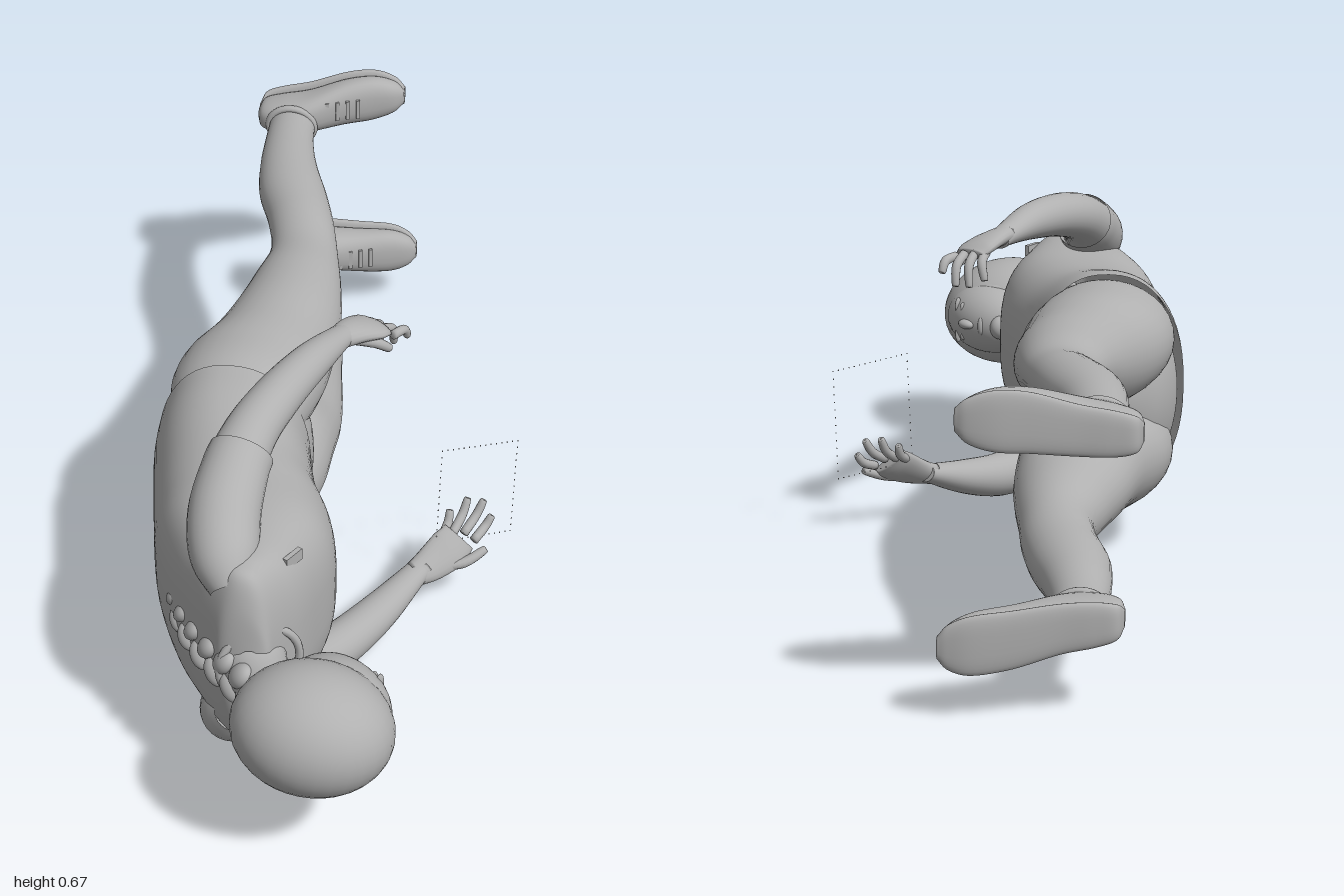
import * as THREE from 'three';

const MID = 0.3125; // body's plane of symmetry (y); head points to +z, chest to +x
const V = (x, y, z) => new THREE.Vector3(x, y, z);

export function createModel() {
  const model = new THREE.Group();
  model.name = 'recliningWoman';
  const grey = new THREE.MeshStandardMaterial({ color: 0xb0b0b0, side: THREE.DoubleSide });
  grey.name = 'plain grey';

  const add = (geo, name, parent = model) => {
    const m = new THREE.Mesh(geo, grey);
    m.name = name;
    parent.add(m);
    return m;
  };
  const group = (name) => {
    const g = new THREE.Group();
    g.name = name;
    model.add(g);
    return g;
  };

  // Smooth sweep through rows [x, y, z, ra, rb, squareness]; rb lies along ref, ra across it.
  function sweep(rows, { ref = V(0, 1, 0), axis = null, n = 28, steps = 6, pow = 1, open = false } = {}) {
    const path = new THREE.CatmullRomCurve3(rows.map(r => V(r[0], r[1], r[2])), false, 'catmullrom');
    const size = new THREE.CatmullRomCurve3(rows.map(r => V(r[3], r[4], r[5] ?? pow)), false, 'catmullrom');
    const count = (rows.length - 1) * steps, pos = [], idx = [];
    for (let i = 0; i <= count; i++) {
      const t = i / count, p = path.getPoint(t), s = size.getPoint(t);
      const T = axis ? axis.clone() : path.getTangent(t);
      const B = ref.clone().addScaledVector(T, -ref.dot(T)).normalize();
      const A = B.clone().cross(T);
      for (let j = 0; j < n; j++) {
        const a = j / n * Math.PI * 2, c = Math.cos(a), d = Math.sin(a);
        const q = p.clone()
          .addScaledVector(A, s.x * Math.sign(c) * Math.abs(c) ** s.z)
          .addScaledVector(B, s.y * Math.sign(d) * Math.abs(d) ** s.z);
        pos.push(q.x, q.y, q.z);
      }
    }
    for (let i = 0; i < count; i++) for (let j = 0; j < n; j++) {
      const k = (j + 1) % n, a = i * n + j, b = i * n + k;
      idx.push(a, b, a + n, b, b + n, a + n);
    }
    if (!open) {
      const first = path.getPoint(0), last = path.getPoint(1), c = pos.length / 3;
      pos.push(first.x, first.y, first.z, last.x, last.y, last.z);
      for (let j = 0; j < n; j++) {
        const k = (j + 1) % n;
        idx.push(c, k, j, c + 1, count * n + j, count * n + k);
      }
    }
    const geo = new THREE.BufferGeometry();
    geo.setAttribute('position', new THREE.Float32BufferAttribute(pos, 3));
    geo.setIndex(idx);
    geo.computeVertexNormals();
    return geo;
  }
  const ball = (name, parent, p, r) => {
    const m = add(new THREE.SphereGeometry(1, 32, 22), name, parent);
    m.position.set(...p);
    m.scale.set(...r);
    return m;
  };

  // Shirt: rows z, centre x, half depth, half width, squareness; open at the hem
  const body = (rows, opts) => sweep(rows.map(([z, x, rx, ry, k]) => [x, MID, z, rx, ry, k]),
    { axis: V(0, 0, 1), n: 56, ...opts });
  add(body([
    [0.13, -0.2, 0.155, 0.23, 0.88], [0.2, -0.19, 0.16, 0.224, 0.88], [0.3, -0.165, 0.165, 0.205, 0.85],
    [0.4, -0.133, 0.176, 0.2, 0.78], [0.5, -0.112, 0.172, 0.204, 0.7], [0.6, -0.098, 0.14, 0.206, 0.7],
    [0.66, -0.085, 0.11, 0.206, 0.72], [0.7, -0.08, 0.085, 0.204, 0.78], [0.735, -0.072, 0.06, 0.19, 0.9],
    [0.755, -0.066, 0.048, 0.13, 1], [0.765, -0.055, 0.03, 0.05, 1],
  ], { open: true }), 'shirt');

  // Hips
  add(body([[-0.045, -0.19, 0.015, 0.02], [-0.025, -0.19, 0.075, 0.08], [0.01, -0.19, 0.122, 0.16],
    [0.07, -0.195, 0.145, 0.216], [0.12, -0.195, 0.146, 0.22], [0.2, -0.19, 0.13, 0.2]]), 'hips');

  // Collar and chest tabs
  const collar = add(new THREE.TorusGeometry(0.078, 0.008, 10, 40), 'collar');
  collar.position.set(-0.045, MID - 0.005, 0.728);
  collar.rotation.y = 0.5;
  for (const s of [-1, 1]) {
    const tab = add(new THREE.BoxGeometry(0.01, 0.024, 0.045), 'chestTab');
    tab.position.set(0.003, MID + s * 0.172 - 0.003, 0.635);
    tab.rotation.y = -0.5;
  }

  // Legs and shoes; the lower-side leg stands straighter and a little forward
  function makeLeg(name, s, rows, shoe) {
    const leg = group(name);
    add(sweep([[0.2, -0.185, 0.1, 0.11, 0.08], ...rows].map(([z, x, rx, d, ry]) => [x, MID + s * d, z, rx, ry]),
      { axis: V(0, 0, -1), n: 32 }), 'leg', leg);
    add(sweep(shoe.map(([x, z, h, w, d]) => [x, MID + s * d, z, h, w]), { axis: V(1, 0, 0), pow: 0.8 }), 'shoe', leg);
    add(sweep(shoe.map(([x, z, h, w, d]) => [x, MID + s * d, Math.max(z - h + 0.004, -0.988), 0.011, w + 0.004]),
      { axis: V(1, 0, 0), pow: 0.7 }), 'sole', leg);
    const [, ax, , ad] = rows[rows.length - 1];
    const cuff = add(new THREE.TorusGeometry(0.05, 0.009, 10, 32), 'shoeCollar', leg);
    cuff.position.set(ax, MID + s * ad, -0.864);
    cuff.scale.y = 0.85;
    for (let i = 0; i < 4; i++) {
      const [x, z, h, , d] = shoe[4], k = i - 1.5;
      const lace = add(new THREE.BoxGeometry(0.008, 0.045, 0.006), 'lace', leg);
      lace.position.set(x + k * 0.022, MID + s * d, z + h - k * 0.008);
      lace.rotation.y = 0.35;
    }
  }
  // leg rows: z, x, half depth, offset from middle, half width; shoe rows: x, z, half height, half width, offset
  const thigh = [[0.1, -0.195, 0.138, 0.115, 0.112], [0, -0.185, 0.147, 0.115, 0.115], [-0.1, -0.163, 0.128, 0.113, 0.112]];
  makeLeg('upperSideLeg', 1, [...thigh,
    [-0.2, -0.148, 0.112, 0.125, 0.098], [-0.3, -0.143, 0.092, 0.143, 0.075], [-0.4, -0.145, 0.072, 0.155, 0.056],
    [-0.5, -0.168, 0.071, 0.167, 0.058], [-0.6, -0.202, 0.074, 0.175, 0.058], [-0.7, -0.228, 0.063, 0.185, 0.05],
    [-0.8, -0.243, 0.053, 0.192, 0.041], [-0.9, -0.25, 0.05, 0.193, 0.038]],
  [[-0.33, -0.91, 0.015, 0.012, 0.195], [-0.318, -0.908, 0.04, 0.028, 0.197], [-0.28, -0.905, 0.052, 0.037, 0.2],
    [-0.22, -0.91, 0.055, 0.042, 0.207], [-0.14, -0.938, 0.042, 0.05, 0.222], [-0.08, -0.957, 0.034, 0.05, 0.226],
    [-0.035, -0.969, 0.025, 0.036, 0.226], [-0.012, -0.975, 0.01, 0.016, 0.226]]);
  makeLeg('lowerSideLeg', -1, [...thigh,
    [-0.2, -0.148, 0.112, 0.13, 0.092], [-0.3, -0.14, 0.092, 0.138, 0.08], [-0.4, -0.138, 0.073, 0.144, 0.068],
    [-0.5, -0.154, 0.074, 0.151, 0.064], [-0.6, -0.18, 0.076, 0.157, 0.064], [-0.7, -0.2, 0.064, 0.157, 0.055],
    [-0.8, -0.213, 0.052, 0.157, 0.043], [-0.9, -0.22, 0.05, 0.155, 0.037]],
  [[-0.3, -0.91, 0.015, 0.012, 0.14], [-0.288, -0.908, 0.04, 0.028, 0.14], [-0.25, -0.905, 0.052, 0.037, 0.143],
    [-0.19, -0.91, 0.055, 0.042, 0.15], [-0.11, -0.938, 0.042, 0.049, 0.167], [-0.04, -0.96, 0.032, 0.05, 0.176],
    [0.0, -0.972, 0.023, 0.037, 0.18], [0.02, -0.978, 0.01, 0.016, 0.182]]);

  // Arms, each with a short sleeve and a hand
  function arm(name, rows, sleeveRows, palm, knuckles, tips, bend, thumb) {
    const g = group(name);
    add(sweep(rows, { ref: V(1, 0, 0.3).normalize() }), 'arm', g);
    add(sweep(sleeveRows, { ref: V(1, 0, 0.3).normalize(), open: true }), 'sleeve', g);
    const spread = V(...knuckles[3]).sub(V(...knuckles[0])).normalize();
    add(sweep(palm, { ref: spread, n: 18 }), 'palm', g);
    const digit = (a, b, c, r) => add(sweep(
      [[...a, r, r], [...b, r, r], [...c, r * 0.8, r * 0.8],
        [...c.map((v, i) => v + (c[i] - b[i]) * 0.12), r * 0.3, r * 0.3]], { ref: spread, n: 12, steps: 5 }), 'finger', g);
    knuckles.forEach((k, i) => digit(k, k.map((v, j) => (v + tips[i][j]) / 2 + bend[j]), tips[i], 0.0095));
    digit(...thumb, 0.011);
  }
  arm('upperSideArm',
    [[-0.11, 0.47, 0.68, 0.05, 0.05], [-0.13, 0.51, 0.62, 0.062, 0.062], [-0.132, 0.557, 0.53, 0.056, 0.06],
      [-0.112, 0.6, 0.43, 0.05, 0.052], [-0.075, 0.623, 0.33, 0.045, 0.046], [-0.03, 0.631, 0.22, 0.037, 0.038],
      [0.01, 0.624, 0.12, 0.022, 0.027], [0.025, 0.618, 0.09, 0.018, 0.026]],
    [[-0.095, 0.455, 0.71, 0.04, 0.04], [-0.118, 0.495, 0.66, 0.064, 0.064], [-0.132, 0.532, 0.58, 0.066, 0.068],
      [-0.127, 0.568, 0.5, 0.061, 0.064], [-0.12, 0.584, 0.465, 0.059, 0.062]],
    [[0.01, 0.624, 0.12, 0.02, 0.026], [0.035, 0.62, 0.085, 0.018, 0.036], [0.06, 0.61, 0.055, 0.015, 0.042],
      [0.075, 0.6, 0.035, 0.01, 0.036]],
    [[0.042, 0.605, 0.035], [0.063, 0.605, 0.035], [0.086, 0.6, 0.04], [0.105, 0.592, 0.05]],
    [[0.042, 0.557, 0.0], [0.072, 0.545, -0.005], [0.1, 0.545, 0.0], [0.128, 0.568, 0.01]],
    [0.006, 0.008, -0.008],
    [[0.035, 0.605, 0.095], [0.075, 0.595, 0.085], [0.1, 0.575, 0.07]]);
  arm('lowerSideArm',
    [[-0.11, 0.155, 0.68, 0.05, 0.05], [-0.11, 0.105, 0.62, 0.062, 0.064], [-0.077, 0.075, 0.53, 0.057, 0.06],
      [-0.02, 0.056, 0.44, 0.05, 0.053], [0.045, 0.047, 0.35, 0.047, 0.047], [0.11, 0.066, 0.26, 0.037, 0.04],
      [0.17, 0.097, 0.17, 0.022, 0.027], [0.185, 0.105, 0.15, 0.02, 0.027]],
    [[-0.095, 0.17, 0.71, 0.04, 0.04], [-0.11, 0.128, 0.66, 0.064, 0.064], [-0.1, 0.09, 0.58, 0.067, 0.068],
      [-0.06, 0.07, 0.5, 0.062, 0.064], [-0.037, 0.062, 0.465, 0.059, 0.062]],
    [[0.17, 0.097, 0.17, 0.02, 0.026], [0.2, 0.108, 0.145, 0.018, 0.036], [0.232, 0.127, 0.115, 0.015, 0.043],
      [0.25, 0.145, 0.095, 0.01, 0.038]],
    [[0.215, 0.145, 0.11], [0.236, 0.15, 0.097], [0.259, 0.15, 0.09], [0.28, 0.135, 0.09]],
    [[0.227, 0.185, 0.065], [0.26, 0.203, 0.045], [0.292, 0.2, 0.042], [0.31, 0.168, 0.048]],
    [0.004, -0.002, -0.01],
    [[0.215, 0.1, 0.14], [0.265, 0.104, 0.125], [0.302, 0.12, 0.1]]);

  // Neck and bowed head
  const head = group('head');
  const HY = 0.286;
  add(sweep([[-0.06, 0.308, 0.72, 0.065, 0.065], [-0.03, 0.3, 0.77, 0.056, 0.056], [0.03, 0.29, 0.84, 0.06, 0.06]]), 'neck', head);
  const hair = ball('hair', head, [0.076, HY, 0.868], [0.151, 0.121, 0.13]);
  hair.rotation.z = -0.12;
  // Face: local x is its normal, local z runs up to the brow
  const face = new THREE.Group();
  face.name = 'face';
  face.position.set(0.112, HY, 0.79);
  face.rotation.y = 0.82;
  head.add(face);
  ball('faceSkin', face, [0, 0, 0], [0.084, 0.078, 0.115]);
  ball('nose', face, [0.082, 0, -0.01], [0.015, 0.011, 0.022]);
  ball('lips', face, [0.07, 0, -0.048], [0.009, 0.021, 0.008]);
  ball('chin', face, [0.045, 0, -0.085], [0.025, 0.027, 0.022]);
  for (const s of [-1, 1]) {
    ball('eye', face, [0.07, s * 0.03, 0.015], [0.008, 0.014, 0.007]);
    ball('brow', face, [0.068, s * 0.032, 0.034], [0.009, 0.02, 0.005]);
    ball('sideHair', face, [-0.02, s * 0.07, 0.015], [0.04, 0.018, 0.06]);
  }

  // Braid: paired strands down the back
  const braid = group('braid');
  const line = new THREE.CatmullRomCurve3([V(-0.05, 0.3, 0.805), V(-0.1, 0.303, 0.76),
    V(-0.15, 0.306, 0.71), V(-0.195, 0.31, 0.65), V(-0.228, 0.312, 0.59)]);
  for (let i = 0; i < 12; i++) {
    const p = line.getPoint(i / 11), t = line.getTangent(i / 11), s = i % 2 ? 1 : -1, k = 1 - i * 0.02;
    const strand = ball('strand', braid, [p.x, p.y + s * 0.022 * k, p.z], [0.025 * k, 0.034 * k, 0.02 * k]);
    strand.quaternion.setFromUnitVectors(V(0, 1, 0), t.clone().multiplyScalar(0.7).add(V(0, -s * 0.7, 0)).normalize());
  }

  // Dotted frame beside the hand
  const frame = group('dottedFrame');
  const corners = [V(0.215, 0.37, 0.115), V(0.356, 0.35, 0.03), V(0.348, 0.122, 0.03), V(0.206, 0.14, 0.115)];
  corners.forEach((c, i) => {
    for (let k = 0; k < 14; k++)
      add(new THREE.BoxGeometry(0.002, 0.002, 0.002), 'dot', frame).position.lerpVectors(c, corners[(i + 1) % 4], k / 14);
  });
  return model;
}
